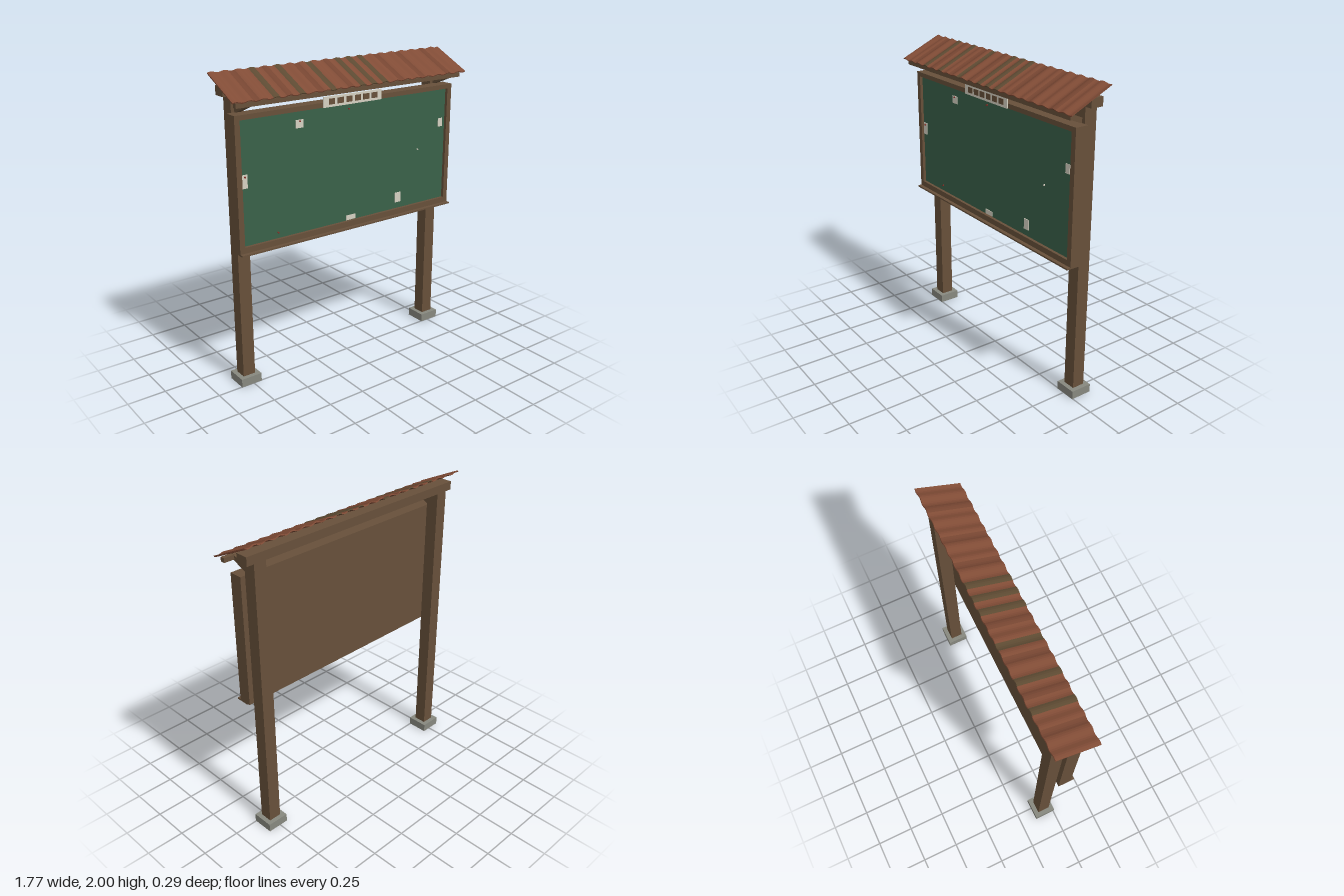
import * as THREE from 'three';

const mat = (name, color) => {
  const m = new THREE.MeshStandardMaterial({ color });
  m.name = name;
  return m;
};

export function createModel() {
  const group = new THREE.Group();
  const wood = mat('brown wood', 0x67503a);
  const green = mat('board green', 0x3a6149);
  const paper = mat('paper', 0xd6d1c2);
  const concrete = mat('concrete', 0x87887f);
  const rust = mat('rust roof', 0x814c36);
  const darkRust = mat('dark rust roof', 0x764531);
  const olive = mat('weathered roof', 0x5d4a32);
  const red = mat('pin red', 0x8a3028);

  const add = (name, geo, material, x = 0, y = 0, z = 0) => {
    const mesh = new THREE.Mesh(geo, material);
    mesh.name = name;
    mesh.position.set(x, y, z);
    group.add(mesh);
    return mesh;
  };
  const box = (name, material, w, h, d, x, y, z) =>
    add(name, new THREE.BoxGeometry(w, h, d), material, x, y, z);

  // Rectangle outline given by its edges
  const rect = (P, x0, y0, x1, y1) => {
    const p = new P();
    p.moveTo(x0, y0);
    p.lineTo(x1, y0);
    p.lineTo(x1, y1);
    p.lineTo(x0, y1);
    p.closePath();
    return p;
  };
  // Extruded rectangular ring
  const ring = (outer, inner, depth) => {
    const s = rect(THREE.Shape, ...outer);
    s.holes.push(rect(THREE.Path, ...inner));
    return new THREE.ExtrudeGeometry(s, { depth, bevelEnabled: false });
  };

  // Posts, concrete footings and struts
  const postZ = -0.067;
  for (const side of [-1, 1]) {
    const x = side * 0.765;
    box('post', wood, 0.084, 1.87, 0.084, x, 0.935, postZ);
    const foot = ring([-0.072, -0.072, 0.072, 0.072], [-0.042, -0.042, 0.042, 0.042], 0.055);
    foot.rotateX(-Math.PI / 2);
    add('footing', foot, concrete, x, 0, postZ);
    const strut = box('strut', wood, 0.04, 0.032, 0.165, x, 1.814, 0.037);
    strut.rotation.x = -0.4;
  }

  // Beams carrying the roof
  box('topBeam', wood, 1.71, 0.056, 0.084, 0, 1.898, postZ);
  box('frontPurlin', wood, 1.71, 0.028, 0.03, 0, 1.842, 0.106);

  // Notice board: frame, back panel, green face and bottom ledge
  add('boardFrame', ring([-0.838, 0.932, 0.838, 1.775], [-0.803, 0.972, 0.803, 1.745], 0.086),
    wood, 0, 0, -0.022);
  box('backPanel', wood, 1.606, 0.773, 0.058, 0, 1.3585, 0.007);
  box('boardFace', green, 1.606, 0.773, 0.008, 0, 1.3585, 0.04);
  box('ledge', wood, 1.676, 0.01, 0.09, 0, 0.93, 0.045);

  // Header plate with blank blocks
  box('headerPlate', paper, 0.45, 0.066, 0.007, -0.003, 1.777, 0.0685);
  for (let i = 0; i < 6; i++) {
    box('headerBlock', wood, 0.046, 0.036, 0.004, -0.167 + i * 0.066, 1.778, 0.073);
  }

  // Paper notices: x, y, width, height
  const faceZ = 0.044;
  [
    [-0.387, 1.665, 0.056, 0.05],
    [0.762, 1.515, 0.037, 0.057],
    [-0.779, 1.374, 0.04, 0.084],
    [0.396, 1.048, 0.048, 0.068],
    [-0.003, 0.991, 0.074, 0.032],
  ].forEach(([x, y, w, h]) => box('notice', paper, w, h, 0.004, x, y, faceZ + 0.002));

  // Push pins: x, y, material
  [
    [-0.387, 1.682, red], [-0.776, 1.402, red], [-0.56, 1.01, red],
    [-0.02, 1.71, red], [0.56, 1.357, paper],
  ].forEach(([x, y, m]) => {
    const pin = add('pin', new THREE.CylinderGeometry(0.005, 0.005, 0.01, 8), m, x, y, faceZ + 0.005);
    pin.rotation.x = Math.PI / 2;
  });

  // Corrugated roof: one extruded wave piece per half corrugation
  const roof = new THREE.Group();
  roof.name = 'roof';
  const halves = 40, halfWidth = 0.885, step = (2 * halfWidth) / halves;
  const length = 0.308, thick = 0.007;
  const weathered = [6, 10, 15, 20, 22, 24];
  const dark = [3, 8, 13, 18, 27, 31, 36];
  const wave = (x) => 0.005 * Math.sin(((x + halfWidth) / step) * Math.PI);
  for (let i = 0; i < halves; i++) {
    const pts = [];
    const n = 4, x0 = -halfWidth + i * step;
    for (let k = 0; k <= n; k++) {
      const x = x0 + (k / n) * step;
      pts.push(new THREE.Vector2(x, wave(x) - thick / 2));
    }
    for (let k = n; k >= 0; k--) {
      const x = x0 + (k / n) * step;
      pts.push(new THREE.Vector2(x, wave(x) + thick / 2));
    }
    const geo = new THREE.ExtrudeGeometry(new THREE.Shape(pts), { depth: length, bevelEnabled: false });
    geo.translate(0, 0, -length / 2);
    const m = weathered.includes(i) ? olive : dark.includes(i) ? darkRust : rust;
    const piece = new THREE.Mesh(geo, m);
    piece.name = 'roofSheet';
    roof.add(piece);
  }
  roof.rotation.x = 0.437;
  roof.position.set(0, 1.928, 0);
  group.add(roof);

  return group;
}
